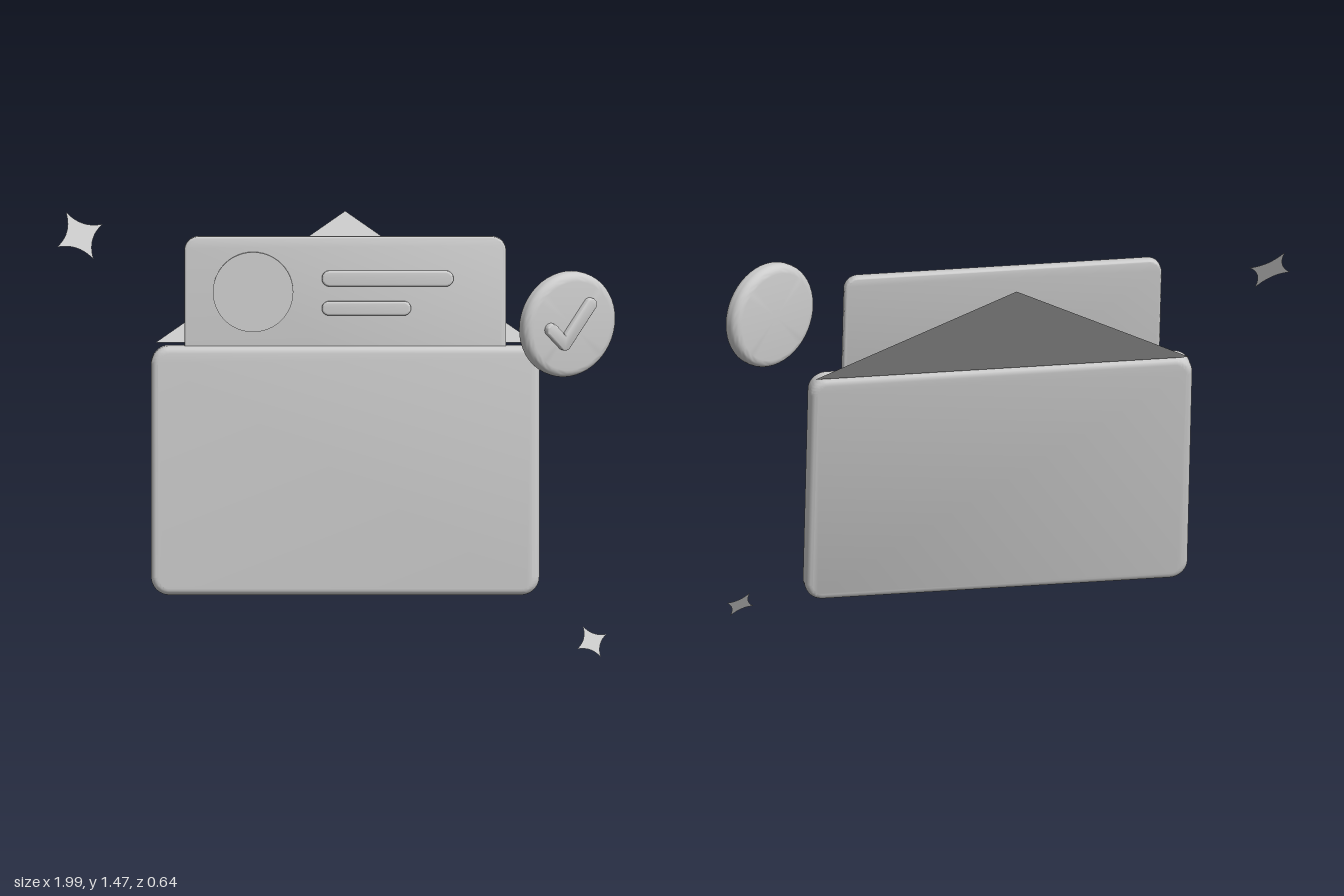
import * as THREE from 'three';
import { toCreasedNormals } from 'three/addons/utils/BufferGeometryUtils.js';

const clay = new THREE.MeshStandardMaterial({ color: 0xcccccc });
clay.name = 'lightGrey';
const clayThin = new THREE.MeshStandardMaterial({ color: 0xcccccc, side: THREE.DoubleSide });
clayThin.name = 'lightGreySheet';

function add(parent, name, geometry, x = 0, y = 0, z = 0, material = clay) {
  const mesh = new THREE.Mesh(geometry, material);
  mesh.name = name;
  mesh.position.set(x, y, z);
  parent.add(mesh);
  return mesh;
}

function roundedRect(w, h, r) {
  const s = new THREE.Shape();
  const x = w / 2 - r, y = h / 2 - r;
  s.absarc(x, y, r, 0, Math.PI / 2);
  s.absarc(-x, y, r, Math.PI / 2, Math.PI);
  s.absarc(-x, -y, r, Math.PI, Math.PI * 1.5);
  s.absarc(x, -y, r, Math.PI * 1.5, Math.PI * 2);
  return s;
}

// Extrude centred on z = 0, with a rounded edge added outside the outline
function softExtrude(shape, depth, bevel) {
  const g = new THREE.ExtrudeGeometry(shape, {
    depth: depth - 2 * bevel, bevelEnabled: true, bevelSize: bevel,
    bevelThickness: bevel, bevelSegments: 5, curveSegments: 10,
  });
  g.translate(0, 0, bevel - depth / 2);
  return toCreasedNormals(g, 0.6);
}

function plate(w, h, depth, r, bevel) {
  return softExtrude(roundedRect(w - 2 * bevel, h - 2 * bevel, r - bevel), depth, bevel);
}

// Outline of a tick: a two-segment stroke with round ends
function tickShape(a, b, c, r) {
  const a1 = Math.atan2(b.y - a.y, b.x - a.x);
  const a2 = Math.atan2(c.y - b.y, c.x - b.x);
  const q = Math.PI / 2;
  const mid = (a1 + a2) / 2 + q;
  const m = r / Math.cos((a2 - a1) / 2);
  const s = new THREE.Shape();
  s.absarc(b.x, b.y, r, a1 - q, a2 - q);
  s.absarc(c.x, c.y, r, a2 - q, a2 + q);
  s.lineTo(b.x + m * Math.cos(mid), b.y + m * Math.sin(mid));
  s.absarc(a.x, a.y, r, a1 + q, a1 + 3 * q);
  return s;
}

// Flat four-pointed star with hollow sides
function starGeometry(R) {
  const s = new THREE.Shape();
  const c = 0.2 * R;
  s.moveTo(R, 0);
  s.quadraticCurveTo(c, c, 0, R);
  s.quadraticCurveTo(-c, c, -R, 0);
  s.quadraticCurveTo(-c, -c, 0, -R);
  s.quadraticCurveTo(c, -c, R, 0);
  return new THREE.ShapeGeometry(s, 10);
}

export function createModel() {
  const model = new THREE.Group();
  model.name = 'walletWithCard';

  // Wallet, card and flap share one turned and leaning frame
  const wallet = new THREE.Group();
  wallet.name = 'wallet';
  wallet.position.set(0.033, 0.608, 0.07);
  wallet.rotation.set(-0.133, 0.236, 0, 'YXZ');
  model.add(wallet);
  add(wallet, 'walletBody', plate(1.37, 0.885, 0.085, 0.065, 0.025));

  // Card with a portrait disc and two text bars
  add(wallet, 'card', plate(1.135, 0.85, 0.038, 0.05, 0.008), 0, 0.405, 0);
  const portrait = new THREE.CylinderGeometry(0.142, 0.142, 0.02, 48);
  portrait.rotateX(Math.PI / 2);
  add(wallet, 'portraitDisc', portrait, -0.325, 0.635, 0.02);
  add(wallet, 'longBar', plate(0.465, 0.056, 0.04, 0.0279, 0.008), 0.15, 0.683, 0.017);
  add(wallet, 'shortBar', plate(0.315, 0.05, 0.04, 0.0249, 0.008), 0.075, 0.577, 0.017);

  // Open triangular flap, leaning back from the rear top edge
  const flap = new THREE.BufferGeometry();
  flap.setAttribute('position', new THREE.Float32BufferAttribute(
    [-0.67, 0.447, -0.04, 0.67, 0.447, -0.04, 0, 0.886, -0.285], 3));
  flap.computeVertexNormals();
  add(wallet, 'flap', flap, 0, 0, 0, clayThin);

  // Round badge with a raised tick
  const badge = new THREE.Group();
  badge.name = 'badge';
  badge.position.set(0.84, 1.19, 0.075);
  badge.rotation.y = Math.PI / 4;
  model.add(badge);
  const R = 0.19, half = 0.036, r = 0.03;
  const profile = [new THREE.Vector2(0, -half)];
  for (const side of [-1, 1]) {
    for (let i = 0; i <= 6; i++) {
      const t = (side < 0 ? i - 6 : i) * Math.PI / 12;
      profile.push(new THREE.Vector2(R - r + r * Math.cos(t), side * (half - r) + r * Math.sin(t)));
    }
  }
  profile.push(new THREE.Vector2(0, half));
  const disc = new THREE.LatheGeometry(profile, 48);
  disc.rotateX(Math.PI / 2);
  add(badge, 'badgeDisc', toCreasedNormals(disc, 0.6));
  const tick = tickShape(new THREE.Vector2(-0.092, 0), new THREE.Vector2(-0.038, -0.058),
    new THREE.Vector2(0.068, 0.072), 0.016);
  add(badge, 'tick', softExtrude(tick, 0.04, 0.007), 0, 0, 0.038);

  // Two sparkles facing the same way
  const across = new THREE.Vector3(0.067, 0.03, -0.063).normalize();
  const normal = across.clone().cross(new THREE.Vector3(-0.047, 0.081, -0.03)).normalize();
  const up = normal.clone().cross(across);
  const turn = new THREE.Matrix4().makeBasis(across, up, normal);
  for (const [name, size, x, y, z] of [
    ['largeSparkle', 0.098, -0.93, 1.404, 0.072],
    ['smallSparkle', 0.064, 0.95, 0.06, 0.16],
  ]) {
    add(model, name, starGeometry(size), x, y, z, clayThin).quaternion.setFromRotationMatrix(turn);
  }
  return model;
}
